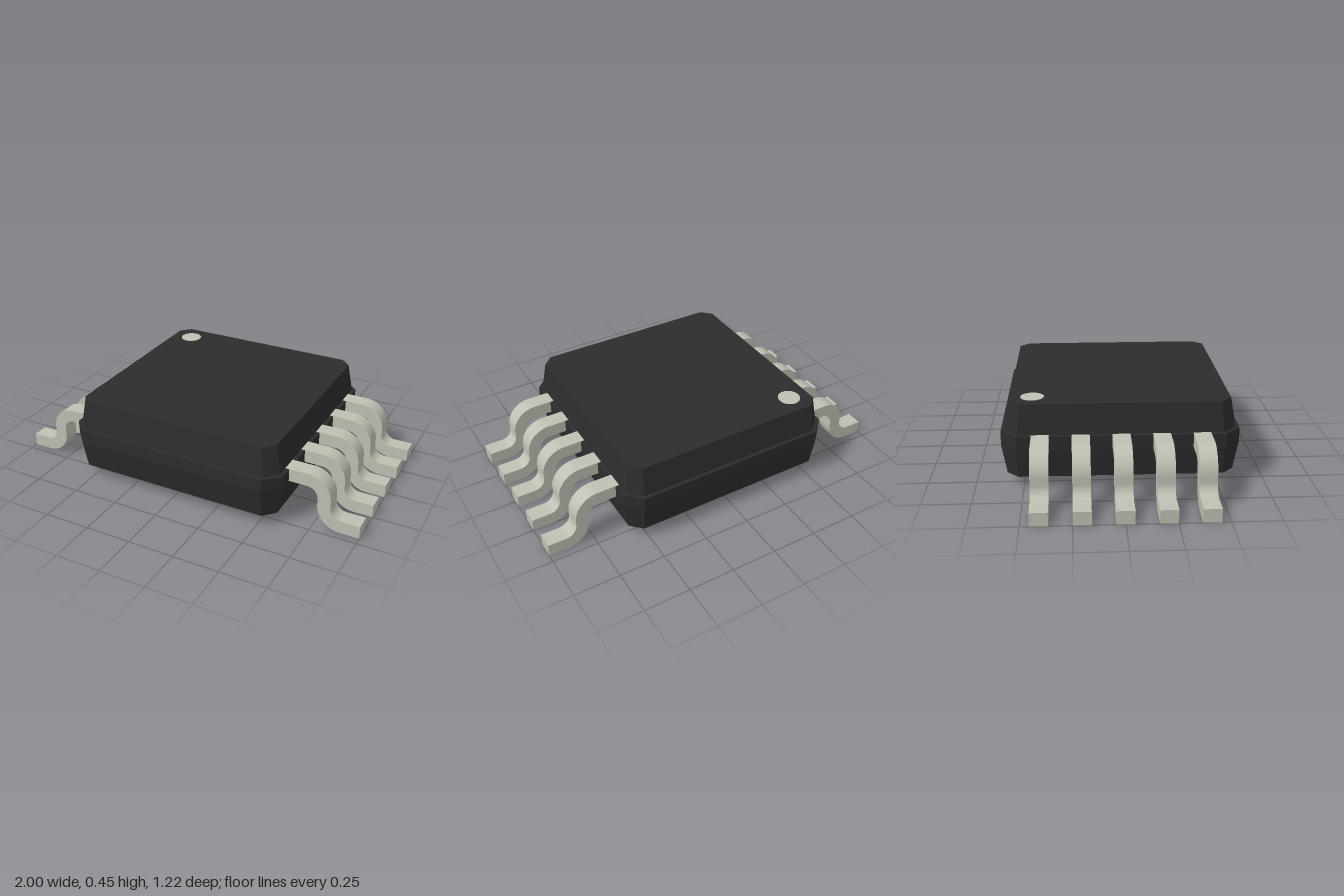
import * as THREE from 'three';
import { toCreasedNormals } from 'three/addons/utils/BufferGeometryUtils.js';

// Octagonal ring: square of half-size h with corners cut by c, at height y
function ring([y, h, c]) {
  const k = h - c;
  return [[h, -k], [h, k], [k, h], [-k, h], [-h, k], [-h, -k], [-k, -h], [k, -h]]
    .map(([x, z]) => [x, y, z]);
}

// Faceted solid through a stack of rings, closed at both ends
function loft(sections) {
  const rings = sections.map(ring);
  const pos = [];
  const tri = (a, b, c) => pos.push(...a, ...b, ...c);
  for (let i = 0; i < rings.length - 1; i++) {
    const lo = rings[i], hi = rings[i + 1];
    for (let j = 0; j < 8; j++) {
      const n = (j + 1) % 8;
      tri(lo[j], hi[j], hi[n]);
      tri(lo[j], hi[n], lo[n]);
    }
  }
  const bottom = rings[0], top = rings[rings.length - 1];
  for (let j = 1; j < 7; j++) {
    tri(bottom[0], bottom[j], bottom[j + 1]);
    tri(top[0], top[j + 1], top[j]);
  }
  const g = new THREE.BufferGeometry();
  g.setAttribute('position', new THREE.Float32BufferAttribute(pos, 3));
  g.computeVertexNormals();
  return g;
}

// Gull-wing lead: S-shaped strip profile extruded across its width
function leadGeometry(width) {
  const q = Math.PI / 2, outer = 0.13, inner = 0.06;
  const s = new THREE.Shape();
  s.moveTo(0.57, 0.225);
  s.lineTo(0.71, 0.225);
  s.absarc(0.71, 0.165, inner, q, 0, true);
  s.absarc(0.90, 0.13, outer, Math.PI, 3 * q, false);
  s.lineTo(1, 0);
  s.lineTo(1, 0.07);
  s.lineTo(0.90, 0.07);
  s.absarc(0.90, 0.13, inner, 3 * q, Math.PI, true);
  s.absarc(0.71, 0.165, outer, 0, q, false);
  s.lineTo(0.57, 0.295);
  s.closePath();
  const g = new THREE.ExtrudeGeometry(s, { depth: width, bevelEnabled: false, curveSegments: 10 });
  g.translate(0, 0, -width / 2);
  return toCreasedNormals(g, 0.6);
}

export function createModel() {
  const model = new THREE.Group();
  model.name = 'chipPackage';
  const plastic = new THREE.MeshStandardMaterial({ color: 0x2c2c2c });
  plastic.name = 'black plastic';
  const metal = new THREE.MeshStandardMaterial({ color: 0xc0bfb3 });
  metal.name = 'pin metal';

  // Moulded body with a narrow ledge level with the lead tops
  const body = new THREE.Mesh(loft([
    [0.065, 0.585, 0.06],
    [0.22, 0.612, 0.082],
    [0.294, 0.612, 0.082],
    [0.294, 0.592, 0.07],
    [0.45, 0.565, 0.055],
  ]), plastic);
  body.name = 'body';
  model.add(body);

  // Pin-one dot
  const dot = new THREE.Mesh(new THREE.CylinderGeometry(0.06, 0.06, 0.006, 40), metal);
  dot.name = 'pinOneMark';
  dot.position.set(-0.45, 0.449, -0.45);
  model.add(dot);

  // Five leads on each side
  const lead = leadGeometry(0.09);
  for (const side of [1, -1]) {
    const row = new THREE.Group();
    row.name = side > 0 ? 'leftLeads' : 'rightLeads';
    row.rotation.y = side > 0 ? 0 : Math.PI;
    for (let i = -2; i <= 2; i++) {
      const pin = new THREE.Mesh(lead, metal);
      pin.name = 'lead';
      pin.position.z = i * 0.205;
      row.add(pin);
    }
    model.add(row);
  }
  return model;
}
